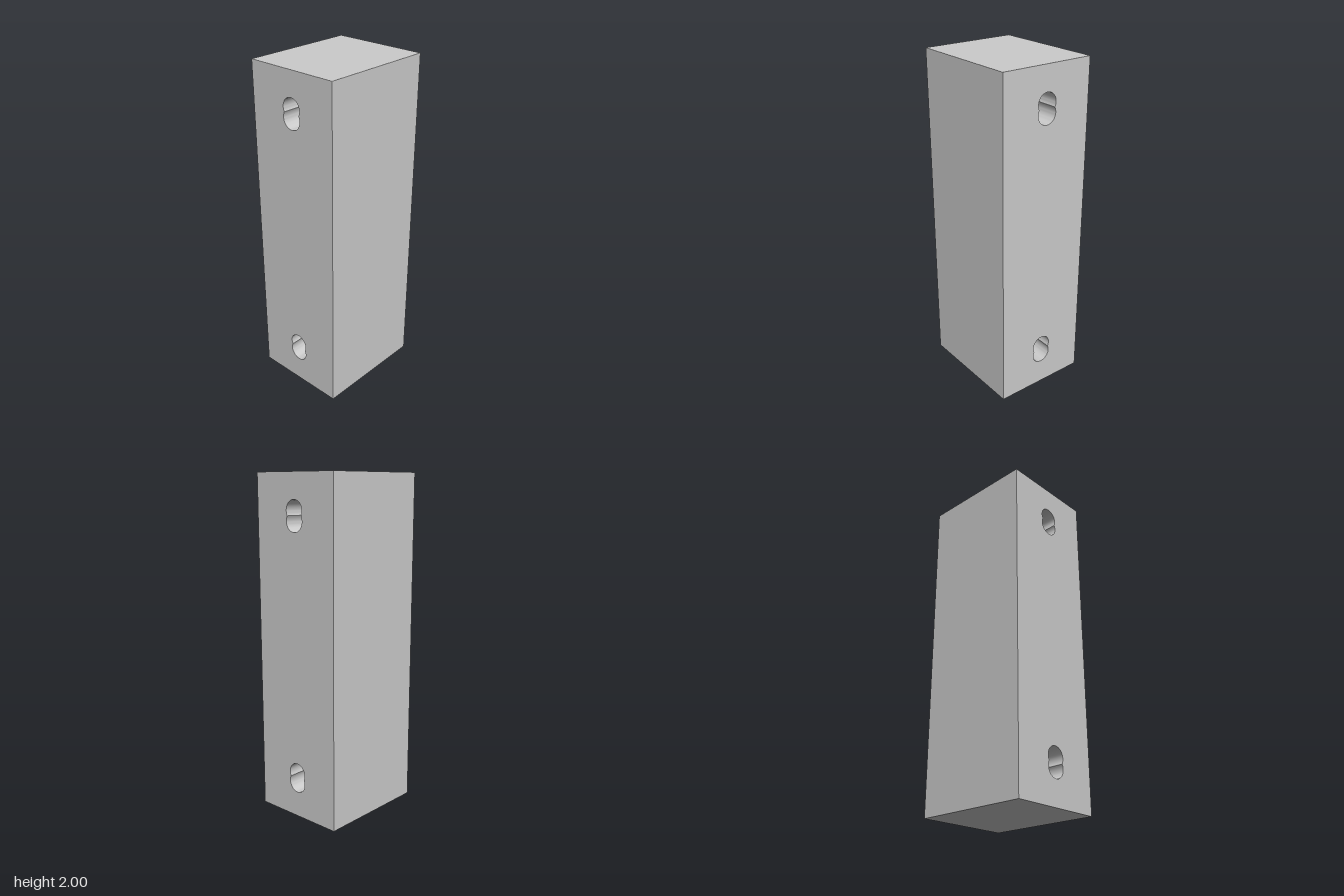
import * as THREE from 'three';
import { toCreasedNormals } from 'three/addons/utils/BufferGeometryUtils.js';

const W = 0.582, H = 2, D = 0.698;

// Hole outline: two overlapping circles, one above the other
function doubleHole(y, r = 0.06, offset = 0.029, steps = 28) {
  const a = Math.asin(offset / r);
  const points = [];
  for (const [cy, start] of [[y + offset, -a], [y - offset, Math.PI - a]]) {
    for (let i = 0; i < steps; i++) {
      const t = start + (Math.PI + 2 * a) * i / steps;
      points.push(new THREE.Vector2(r * Math.cos(t), cy + r * Math.sin(t)));
    }
  }
  return new THREE.Path(points);
}

export function createModel() {
  const group = new THREE.Group();
  group.name = 'drilledBlock';

  // Upright block with a through hole near each end
  const shape = new THREE.Shape([
    new THREE.Vector2(-W / 2, 0),
    new THREE.Vector2(W / 2, 0),
    new THREE.Vector2(W / 2, H),
    new THREE.Vector2(-W / 2, H),
  ]);
  shape.holes.push(doubleHole(0.241), doubleHole(1.764));

  const geometry = new THREE.ExtrudeGeometry(shape, { depth: D, bevelEnabled: false });
  geometry.translate(0, 0, -D / 2);

  const block = new THREE.Mesh(
    toCreasedNormals(geometry, 0.5),
    new THREE.MeshStandardMaterial({ color: 0xcccccc })
  );
  block.name = 'block';
  group.add(block);
  return group;
}
